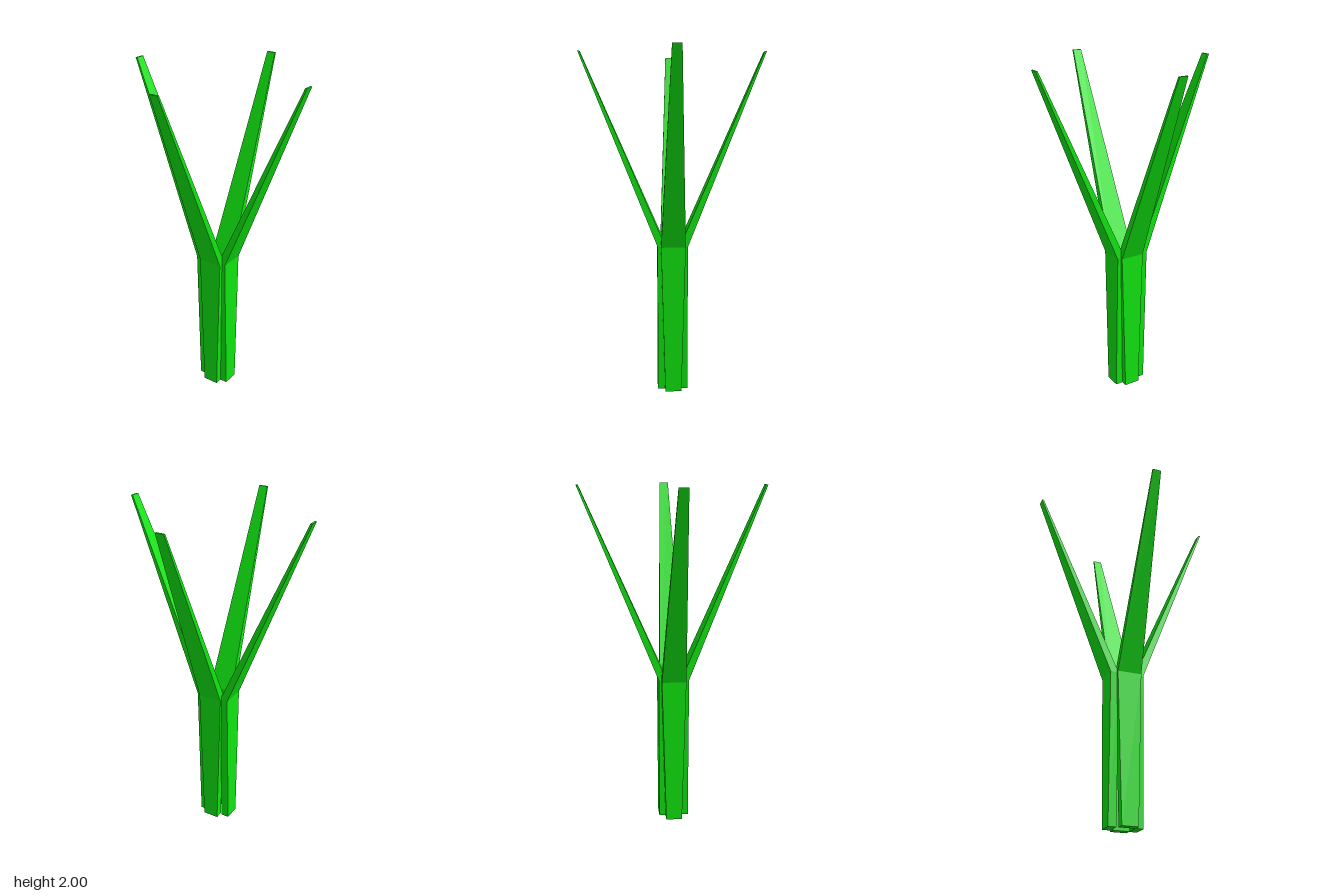
import * as THREE from 'three';

// Rows from foot to tip: height, half width, inner and outer distance from the axis
const ROWS = [
  [0, 0.048, 0.041, 0.089],
  [0.88, 0.072, 0.041, 0.089],
  [2, 0.026, 0.526, 0.537],
];

// One bent blade leaning outward along +z
function bladeGeometry() {
  const geometry = new THREE.BoxGeometry(2, 2, 2, 1, 2, 1);
  const p = geometry.attributes.position;
  for (let i = 0; i < p.count; i++) {
    const [y, half, inner, outer] = ROWS[Math.round(p.getY(i)) + 1];
    p.setXYZ(i, Math.sign(p.getX(i)) * half, y, p.getZ(i) > 0 ? outer : inner);
  }
  geometry.computeVertexNormals();
  return geometry;
}

export function createModel() {
  const model = new THREE.Group();
  model.name = 'plant';
  const material = new THREE.MeshStandardMaterial({ color: 0x10e610, flatShading: true });
  const geometry = bladeGeometry();

  // Four blades, one to each side, slightly offset from the axis
  const blades = [
    ['frontBlade', 0, 0.008, 0],
    ['leftBlade', 1, 0.012, -0.003],
    ['backBlade', 2, 0.008, 0],
    ['rightBlade', 3, -0.012, -0.003],
  ];
  for (const [name, quarter, x, z] of blades) {
    const blade = new THREE.Mesh(geometry, material);
    blade.name = name;
    blade.rotation.y = quarter * Math.PI / 2;
    blade.position.set(x, 0, z);
    model.add(blade);
  }
  return model;
}
